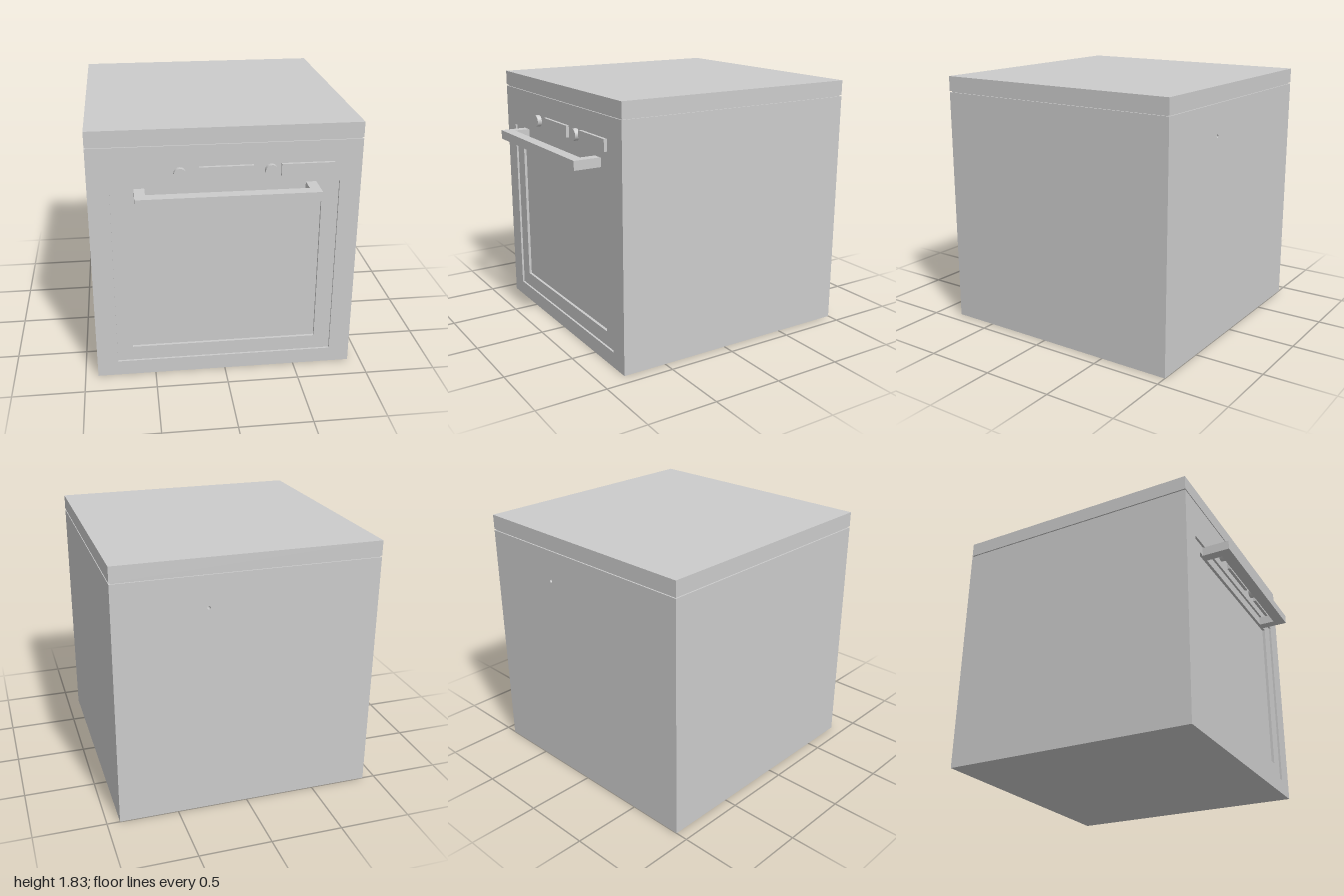
import * as THREE from 'three';

const material = new THREE.MeshStandardMaterial({ color: 0xcccccc });

// Box given by its extents on each axis
function block(name, [x0, x1], [y0, y1], [z0, z1]) {
  const mesh = new THREE.Mesh(new THREE.BoxGeometry(x1 - x0, y1 - y0, z1 - z0), material);
  mesh.position.set((x0 + x1) / 2, (y0 + y1) / 2, (z0 + z1) / 2);
  mesh.name = name;
  return mesh;
}

function rectangle(Type, [x0, x1], [y0, y1]) {
  return new Type([[x0, y0], [x1, y0], [x1, y1], [x0, y1]].map(p => new THREE.Vector2(...p)));
}

// Rectangular panel with one opening, running from z0 to z1
function panel(name, xs, ys, [z0, z1], hole) {
  const shape = rectangle(THREE.Shape, xs, ys);
  shape.holes.push(hole);
  const geometry = new THREE.ExtrudeGeometry(shape, { depth: z1 - z0, bevelEnabled: false, curveSegments: 12 });
  geometry.translate(0, 0, z0);
  const mesh = new THREE.Mesh(geometry, material);
  mesh.name = name;
  return mesh;
}

export function createModel() {
  const model = new THREE.Group();
  model.name = 'oven';
  const width = [-0.91, 0.91], height = [0, 1.71];
  const doorX = [-0.765, 0.765], doorY = [0.11, 1.425];
  const windowX = [-0.655, 0.65], windowY = [0.215, 1.357];

  // Cabinet: core, front with a door opening, back with a small cable hole
  const cableHole = new THREE.Path().absarc(0.28, 1.49, 0.012, 0, Math.PI * 2);
  model.add(
    block('cabinetCore', width, height, [-0.95, 0.76]),
    panel('cabinetFront', width, height, [0.76, 0.82], rectangle(THREE.Path, doorX, doorY)),
    panel('cabinetBack', width, height, [-1, -0.95], cableHole),
  );

  // Worktop above a narrow shadow gap
  model.add(
    block('shadowGap', [-0.9, 0.9], [1.7, 1.73], [-0.99, 0.81]),
    block('worktop', width, [1.72, 1.825], [-1, 0.82]),
  );

  // Recessed door with a deeper window
  model.add(
    panel('doorFrame', doorX, doorY, [0.76, 0.805], rectangle(THREE.Path, windowX, windowY)),
    block('doorWindow', windowX, windowY, [0.75, 0.785]),
  );

  // Square-section handle
  const handle = new THREE.Group();
  handle.name = 'handle';
  const grip = [1.355, 1.42];
  handle.add(block('handleBar', [-0.607, 0.607], grip, [0.92, 1]));
  for (const [x0, x1] of [[-0.607, -0.537], [0.537, 0.607]]) {
    handle.add(block('handlePost', [x0, x1], grip, [0.8, 0.92]));
  }
  model.add(handle);

  // Control knobs and display panels
  for (const x of [-0.305, 0.298]) {
    const knob = new THREE.Mesh(new THREE.CylinderGeometry(0.042, 0.042, 0.045, 32), material);
    knob.rotation.x = Math.PI / 2;
    knob.position.set(x, 1.521, 0.83);
    knob.name = 'knob';
    model.add(knob);
  }
  for (const xs of [[-0.18, 0.18], [0.365, 0.72]]) {
    model.add(block('display', xs, [1.48, 1.563], [0.81, 0.842]));
  }
  return model;
}
